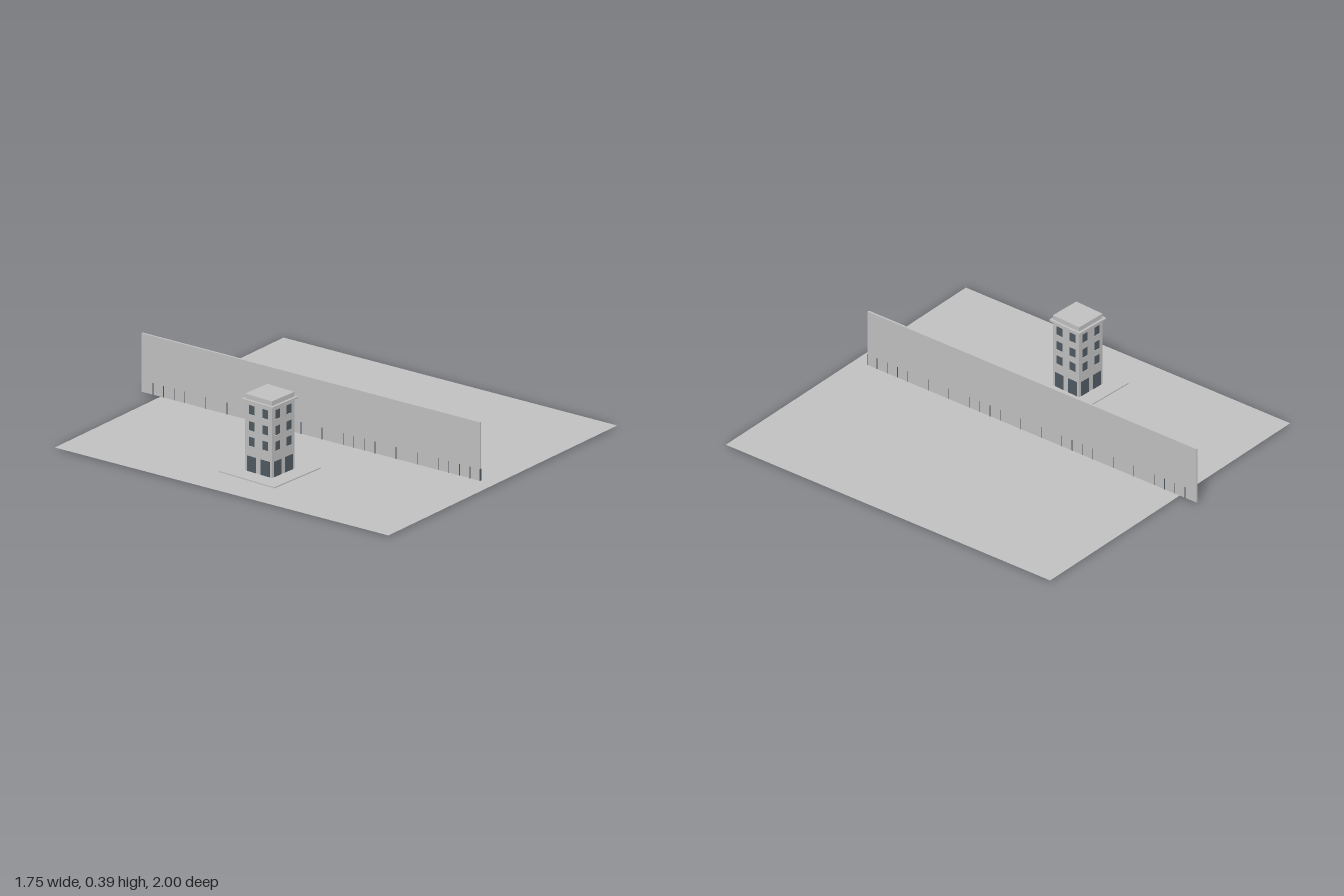
import * as THREE from 'three';

export function createModel() {
  const root = new THREE.Group();
  const plaster = new THREE.MeshStandardMaterial({ color: 0xc0c0c0, side: THREE.DoubleSide });
  plaster.name = 'pale grey';
  const dark = new THREE.MeshStandardMaterial({ color: 0x505a62 });
  dark.name = 'slate grey';

  // box given by its size, centre x and z, and the height of its underside
  const box = (parent, name, mat, w, h, d, x, y, z) => {
    const m = new THREE.Mesh(new THREE.BoxGeometry(w, h, d), mat);
    m.name = name;
    m.position.set(x, y + h / 2, z);
    parent.add(m);
    return m;
  };

  // ground sheet
  const ground = new THREE.Mesh(new THREE.PlaneGeometry(1.755, 1.895), plaster);
  ground.name = 'ground';
  ground.rotation.x = -Math.PI / 2;
  ground.position.set(0, 0.006, 0.048);
  root.add(ground);

  // long thin wall
  const wall = new THREE.Group();
  wall.name = 'longWall';
  wall.position.x = -0.07;
  root.add(wall);
  box(wall, 'wallSlab', plaster, 0.01, 0.286, 1.92, 0, 0.01, -0.04);

  // thin dark plates crossing the foot of the wall, in a repeating rhythm
  const plate = (z) => box(wall, 'wallPlate', dark, 0.013, 0.057, 0.003, 0, 0.01, z);
  for (let i = 0; i <= 30; i++) {
    if ([0, 1, 2, 3, 5, 7].includes(i % 9)) plate(0.865 - i * 0.06);
  }
  plate(0.921);

  // tower block, turned slightly
  const tower = new THREE.Group();
  tower.name = 'towerBlock';
  tower.position.set(-0.53, 0, 0.064);
  tower.rotation.y = -0.055;
  root.add(tower);
  const side = 0.16;
  box(tower, 'pavement', plaster, 0.328, 0.01, 0.328, 0, 0.002, 0);
  box(tower, 'towerBody', plaster, side, 0.386, side, 0, 0, 0);
  box(tower, 'cornice', plaster, 0.184, 0.009, 0.184, 0, 0.354, 0);

  // four equal facades with two bays each
  for (let f = 0; f < 4; f++) {
    const facade = new THREE.Group();
    facade.name = 'facade';
    facade.rotation.y = f * Math.PI / 2;
    tower.add(facade);
    for (const s of [-1, 1]) {
      box(facade, 'groundFloorOpening', dark, 0.053, 0.075, 0.003, s * 0.041, 0.012, side / 2);
      for (const y of [0.138, 0.214, 0.293]) {
        box(facade, 'window', dark, 0.033, 0.043, 0.003, s * 0.04, y, side / 2);
        box(facade, 'windowSill', plaster, 0.036, 0.003, 0.008, s * 0.04, y - 0.003, side / 2);
      }
    }
  }
  return root;
}
